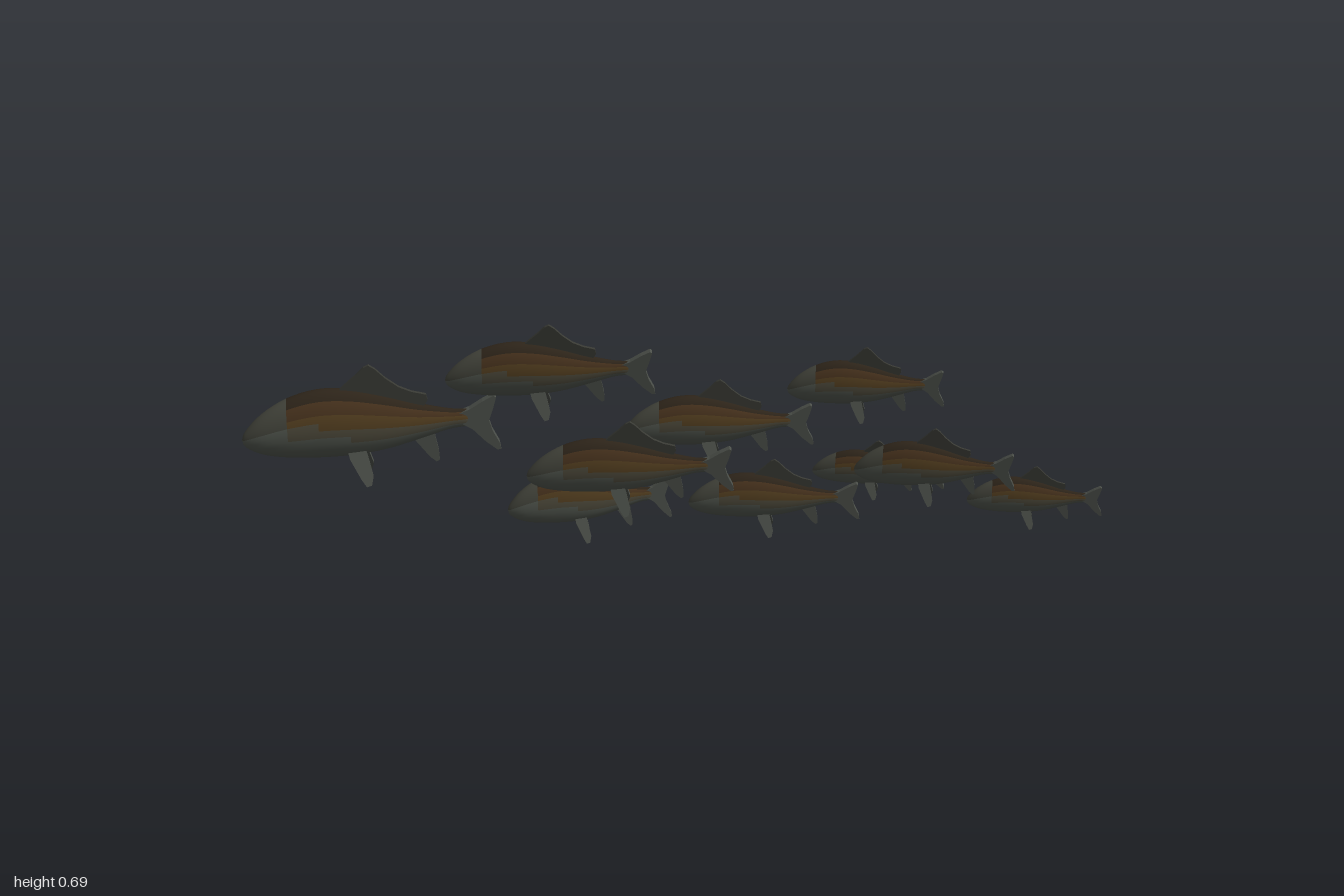
import * as THREE from 'three';

const mat = (name, color) => {
  const m = new THREE.MeshStandardMaterial({ color, side: THREE.DoubleSide });
  m.name = name;
  return m;
};
const skin = [
  mat('belly grey', 0x52574f),
  mat('lower flank olive', 0x4f4b3c),
  mat('flank bronze', 0x543f20),
  mat('upper flank brown', 0x47321d),
  mat('back dark brown', 0x2d2419),
  mat('head grey', 0x44453c),
];
const finMat = mat('fin grey', 0x4b4f49);
const dorsalMat = mat('dorsal fin dark', 0x383933);

const AXIS = 0.14; // height of the fish's long axis above its underside

// Body stations: distance from snout, underside, back, half width (fish length = 1)
const STATIONS = [
  [0, 0.085, 0.085, 0], [0.015, 0.055, 0.12, 0.028], [0.08, 0.022, 0.188, 0.056],
  [0.18, 0.005, 0.25, 0.071], [0.3, 0, 0.284, 0.075], [0.42, 0.004, 0.28, 0.071],
  [0.55, 0.022, 0.25, 0.059], [0.68, 0.058, 0.21, 0.042], [0.8, 0.095, 0.182, 0.026],
  [0.87, 0.105, 0.176, 0.018], [0.91, 0.125, 0.16, 0],
];

// Colour band from the height on the section and the distance from the snout
function bandOf(u, h) {
  if (u < 0.17) return h > 0.6 ? 5 : 0;
  const drop = u > 0.4 ? 0.08 : 0;
  if (h < 0.38 - drop) return 0;
  if (h < (u < 0.28 ? 0.66 : 0.54 - drop)) return 1;
  if (h < 0.76) return 2;
  return h < 0.9 ? 3 : 4;
}

// Smooth lofted body, faces sorted into one group per colour band
function bodyGeometry() {
  const along = (f) => new THREE.CatmullRomCurve3(STATIONS.map(f), false, 'catmullrom', 0.5);
  const heights = along((s) => new THREE.Vector3(s[0], s[1], s[2]));
  const widths = along((s) => new THREE.Vector3(s[0], s[3], 0));
  const rings = 40, sides = 28, pos = [], faces = skin.map(() => []);
  for (let i = 0; i <= rings; i++) {
    const p = heights.getPoint(i / rings), w = widths.getPoint(i / rings).y;
    for (let j = 0; j < sides; j++) {
      const a = (j / sides) * Math.PI * 2;
      pos.push(p.x - 0.5, (p.y + p.z) / 2 - AXIS + ((p.z - p.y) / 2) * Math.cos(a), w * Math.sin(a));
    }
    if (i === rings) break;
    for (let j = 0; j < sides; j++) {
      const k = (j + 1) % sides, r = i * sides, n = r + sides;
      const h = 0.5 + 0.5 * Math.cos(((j + 0.5) / sides) * Math.PI * 2);
      faces[bandOf(p.x, h)].push(r + j, r + k, n + j, r + k, n + k, n + j);
    }
  }
  const g = new THREE.BufferGeometry();
  g.setAttribute('position', new THREE.Float32BufferAttribute(pos, 3));
  g.setIndex(faces.flat());
  let start = 0;
  faces.forEach((f, m) => {
    g.addGroup(start, f.length, m);
    start += f.length;
  });
  g.computeVertexNormals();
  return g;
}

// Thin fin cut from an outline
function finGeometry(points, depth) {
  const shape = new THREE.Shape(points.map(([x, y]) => new THREE.Vector2(x, y)));
  return new THREE.ExtrudeGeometry(shape, { depth, bevelEnabled: false }).translate(0, 0, -depth / 2);
}

const onBody = (points) => points.map(([u, v]) => [u - 0.5, v - AXIS]);

// Snout x, z; tail x, z; underside y; height factor; roll
const SCHOOL = [
  [-1.0, 0.40, -0.455, 0.055, 0.283, 1, 0.08],
  [-0.468, 0.01, -0.105, -0.22, 0.053, 1.14, 0.03],
  [-0.16, -0.06, 0.27, -0.265, 0.303, 0.98, 0.08],
  [0.027, -0.035, 0.423, -0.197, 0.153, 0.97, 0.06],
  [0.277, -0.058, 0.63, -0.188, 0.487, 1.03, 0.09],
  [0.245, -0.325, 0.573, -0.412, 0.178, 0.96, 0.09],
  [0.685, -0.237, 0.995, -0.343, 0.208, 1.01, 0.09],
  [0.477, 0.008, 0.838, -0.102, 0.337, 1.05, 0.1],
  [-0.458, 0.307, -0.01, 0.077, 0.506, 0.98, 0.17],
  [-0.212, 0.36, 0.228, 0.145, 0.322, 0.99, 0.13],
];

export function createModel() {
  const school = new THREE.Group();
  school.name = 'schoolOfFish';

  const body = bodyGeometry();
  const dorsal = finGeometry(onBody([
    [0.36, 0.26], [0.4, 0.296], [0.45, 0.34], [0.48, 0.37], [0.5, 0.38], [0.525, 0.362],
    [0.56, 0.325], [0.61, 0.285], [0.66, 0.262], [0.715, 0.248], [0.72, 0.225], [0.7, 0.19], [0.5, 0.22],
  ]), 0.016);
  const tail = finGeometry(onBody([
    [0.84, 0.125], [0.84, 0.165], [0.88, 0.18], [0.93, 0.212], [0.975, 0.235], [0.985, 0.228],
    [0.972, 0.18], [0.955, 0.13], [0.968, 0.085], [0.995, 0.03], [1, 0.004], [0.985, 0.002],
    [0.94, 0.04], [0.89, 0.095],
  ]), 0.034);
  const anal = finGeometry(onBody([
    [0.65, 0.075], [0.68, 0.035], [0.72, -0.02], [0.745, -0.042], [0.758, -0.035],
    [0.755, 0.01], [0.745, 0.06], [0.74, 0.1],
  ]), 0.016);
  const pelvic = finGeometry([
    [-0.03, 0.02], [-0.02, -0.03], [0.02, -0.11], [0.04, -0.142], [0.06, -0.136],
    [0.068, -0.1], [0.055, -0.04], [0.04, 0.02],
  ], 0.016);

  SCHOOL.forEach(([sx, sz, tx, tz, y, tall, roll], i) => {
    const fish = new THREE.Group();
    fish.name = `fish${i + 1}`;
    const add = (name, geometry, material) => {
      const m = new THREE.Mesh(geometry, material);
      m.name = name;
      fish.add(m);
      return m;
    };
    add('body', body, skin);
    add('dorsalFin', dorsal, dorsalMat);
    add('tailFin', tail, finMat);
    add('analFin', anal, finMat);
    // Mirrored pair of belly fins, splayed outward
    for (const s of [-1, 1]) {
      const fin = add(s > 0 ? 'leftPelvicFin' : 'rightPelvicFin', pelvic, finMat);
      fin.position.set(-0.07, 0.028 - AXIS, s * 0.03);
      fin.rotation.x = -s * 0.36;
    }
    // Lay the fish between its snout and tail points, leaning slightly to one side
    const length = Math.hypot(tx - sx, tz - sz);
    fish.scale.set(length, length * tall, length);
    fish.rotation.set(roll, Math.atan2(sz - tz, tx - sx), 0, 'YXZ');
    fish.position.set((sx + tx) / 2, y + AXIS * length * tall, (sz + tz) / 2);
    school.add(fish);
  });
  return school;
}
